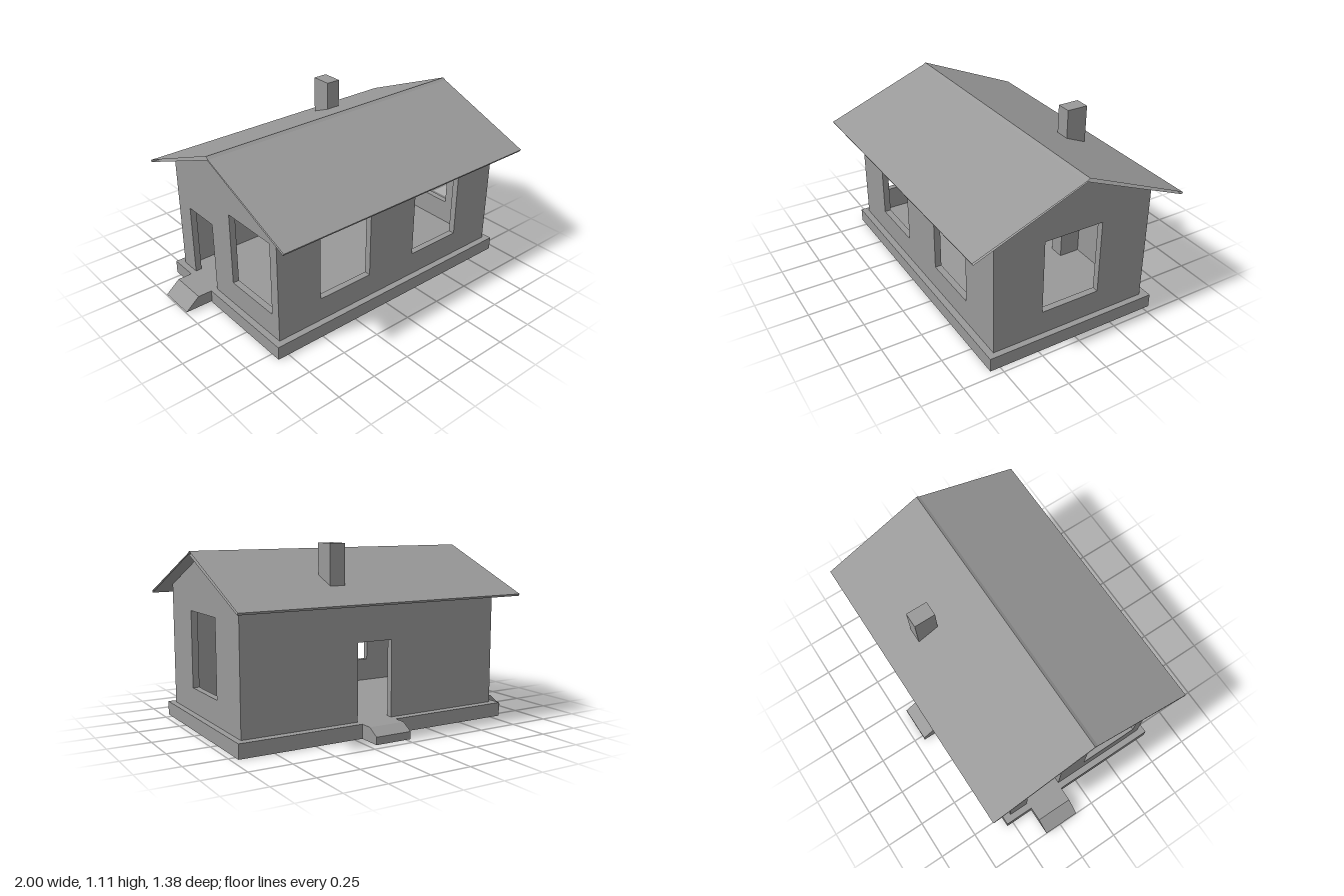
import * as THREE from 'three';

// Walls, steps and roof are open shells, so both sides show
const grey = new THREE.MeshStandardMaterial({ color: 0x999999, flatShading: true, side: THREE.DoubleSide });

const X0 = -0.78, X1 = 0.923, Z0 = -0.493, Z1 = 0.522;   // outer wall faces
const FLOOR = 0.085, EAVE = 0.832, RIDGE = 1.04, RIDGE_Z = 0.014, WALL = 0.04;
const SILL = 0.235, HEAD = 0.7, DOOR_TOP = 0.545;
const BACK_DOOR = [-0.03, 0.2];      // in x
const SIDE_DOOR = [-0.365, -0.118];  // in z

const toPoints = (pts) => pts.map(([u, v]) => new THREE.Vector2(u, v));
const toShape = (pts) => new THREE.Shape(toPoints(pts));

// Extrude an outline lying in x/y along +z, starting at z
function extrudeZ(shape, z, depth) {
  return new THREE.ExtrudeGeometry(shape, { depth, bevelEnabled: false }).translate(0, 0, z);
}
// Extrude an outline with u = -z, v = y along +x, starting at x
function extrudeX(shape, x, depth) {
  return new THREE.ExtrudeGeometry(shape, { depth, bevelEnabled: false })
    .rotateY(Math.PI / 2).translate(x, 0, 0);
}

// Leave out the faces lying flat at height y
function openBottom(geometry, y) {
  const p = geometry.attributes.position, kept = [];
  for (let i = 0; i < p.count; i += 3) {
    const corners = [i, i + 1, i + 2];
    if (corners.every((c) => Math.abs(p.getY(c) - y) < 1e-5)) continue;
    corners.forEach((c) => kept.push(p.getX(c), p.getY(c), p.getZ(c)));
  }
  const open = new THREE.BufferGeometry();
  open.setAttribute('position', new THREE.Float32BufferAttribute(kept, 3));
  open.computeVertexNormals();
  return open;
}

// Wall outline with window holes and an optional doorway cut up from the floor
function wallShape(u0, u1, top, windows, door) {
  const doorway = door
    ? [[door[0], FLOOR], [door[0], DOOR_TOP], [door[1], DOOR_TOP], [door[1], FLOOR]]
    : [];
  const shape = toShape([[u0, FLOOR], ...doorway, [u1, FLOOR], ...top]);
  for (const [a, b] of windows) {
    shape.holes.push(new THREE.Path(toPoints([[a, SILL], [a, HEAD], [b, HEAD], [b, SILL]])));
  }
  return shape;
}

// Open strip: profile points [z, y] swept between two x positions
function sweepX(profile, x0, x1) {
  const pos = [], index = [];
  profile.forEach(([z, y], i) => {
    pos.push(x0, y, z, x1, y, z);
    if (i > 0) {
      const a = 2 * (i - 1);
      index.push(a, a + 1, a + 3, a, a + 3, a + 2);
    }
  });
  const g = new THREE.BufferGeometry();
  g.setAttribute('position', new THREE.Float32BufferAttribute(pos, 3));
  g.setIndex(index);
  const flat = g.toNonIndexed();
  flat.computeVertexNormals();
  return flat;
}

export function createModel() {
  const house = new THREE.Group();
  house.name = 'house';
  const add = (name, geometry) => {
    const mesh = new THREE.Mesh(geometry, grey);
    mesh.name = name;
    house.add(mesh);
  };

  // Plinth skirt, open above and below
  const bx0 = -0.82, bx1 = 0.96, bz0 = -0.543, bz1 = 0.563;
  const skirt = new THREE.BoxGeometry(bx1 - bx0, FLOOR, bz1 - bz0)
    .translate((bx0 + bx1) / 2, FLOOR / 2, (bz0 + bz1) / 2);
  const faces = Array.from(skirt.index.array);
  faces.splice(12, 12);
  skirt.setIndex(faces);
  skirt.clearGroups();
  add('plinth', skirt);

  // Floor and ledge, slotted under the hollow walls but solid at the doorways
  const xi0 = X0 + WALL, xi1 = X1 - WALL, zi0 = Z0 + WALL, zi1 = Z1 - WALL;
  const [bd0, bd1] = BACK_DOOR, [sd0, sd1] = SIDE_DOOR;
  const slots = [
    [[bd0, Z0], [X0, Z0], [X0, sd0], [xi0, sd0], [xi0, zi0], [bd0, zi0]],
    [[X0, sd1], [X0, Z1], [X1, Z1], [X1, Z0], [bd1, Z0],
      [bd1, zi0], [xi1, zi0], [xi1, zi1], [xi0, zi1], [xi0, sd1]],
  ];
  const flip = (pts) => pts.map(([x, z]) => [x, -z]);
  const floor = toShape(flip([[bx0, bz1], [bx1, bz1], [bx1, bz0], [bx0, bz0]]));
  floor.holes = slots.map((s) => new THREE.Path(toPoints(flip(s))));
  add('floor', new THREE.ShapeGeometry(floor).rotateX(-Math.PI / 2).translate(0, FLOOR, 0));

  // Long walls
  const flatTop = [[X1, EAVE], [X0, EAVE]];
  const addWall = (name, geometry) => add(name, openBottom(geometry, FLOOR));
  addWall('frontWall', extrudeZ(wallShape(X0, X1, flatTop, [[-0.483, -0.108], [0.247, 0.625]]), zi1, WALL));
  addWall('backWall', extrudeZ(wallShape(X0, X1, flatTop, [], BACK_DOOR), Z0, WALL));

  // Gable walls
  const gableTop = [[-Z0, EAVE], [-RIDGE_Z, RIDGE], [-Z1, EAVE]];
  addWall('leftGable', extrudeX(wallShape(-Z1, -Z0, gableTop, [[-0.208, 0.167]]), xi1, WALL));
  addWall('rightGable', extrudeX(wallShape(-Z1, -Z0, gableTop, [[-0.46, -0.073]], [-sd1, -sd0]), X0, WALL));

  // Roof: thin sheet open at the gable ends, the back slope lapping over the front at the ridge
  add('roof', sweepX([
    [0.684, 0.77], [0.69, 0.782], [0.022, 1.047], [0.002, 1.06], [-0.66, 0.782],
    [-0.654, 0.77], [RIDGE_Z, 1.042], [0.684, 0.77],
  ], -0.855, 1));

  // Chimney runs from the floor up through the back slope
  add('chimney', new THREE.BoxGeometry(0.094, 1.105 - FLOOR, 0.135)
    .translate(0.309, (1.105 + FLOOR) / 2, -0.385));

  // Sloped door steps, the back one hollow underneath
  add('sideStep', extrudeZ(toShape([[-1, 0.01], [-0.82, 0.01], [-0.82, FLOOR], [-0.91, FLOOR]]), -0.358, 0.235));
  add('backStep', openBottom(
    extrudeX(toShape([[0.543, 0], [0.69, 0], [0.69, 0.045], [0.62, FLOOR], [0.543, FLOOR]]), -0.03, 0.23), 0));

  return house;
}
